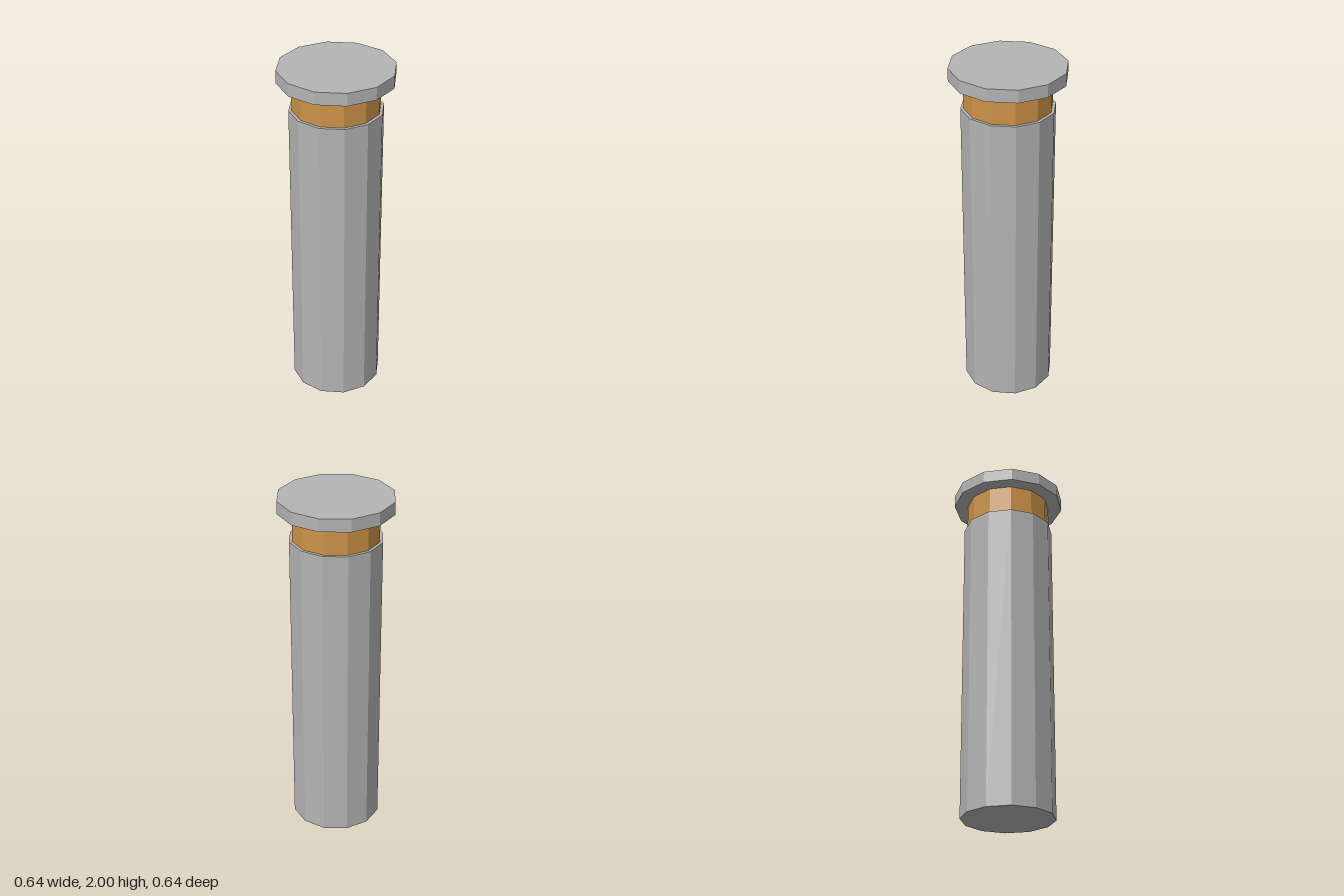
import * as THREE from 'three';

const SIDES = 12;

export function createModel() {
  const model = new THREE.Group();
  model.name = 'plungerPin';

  const grey = new THREE.MeshStandardMaterial({ color: 0xb4b4b4, flatShading: true });
  grey.name = 'steel grey';
  const copper = new THREE.MeshStandardMaterial({ color: 0xcc9348, flatShading: true });
  copper.name = 'copper orange';

  // Upright twelve-sided prism between two heights
  const addPrism = (name, radius, bottom, top, material) => {
    const geometry = new THREE.CylinderGeometry(radius, radius, top - bottom, SIDES);
    const mesh = new THREE.Mesh(geometry, material);
    mesh.name = name;
    mesh.position.y = (bottom + top) / 2;
    model.add(mesh);
  };

  addPrism('body', 0.258, 0, 1.764, grey);
  addPrism('neck', 0.241, 1.7, 1.928, copper); // seated in the body
  addPrism('cap', 0.32, 1.928, 2, grey);

  return model;
}
